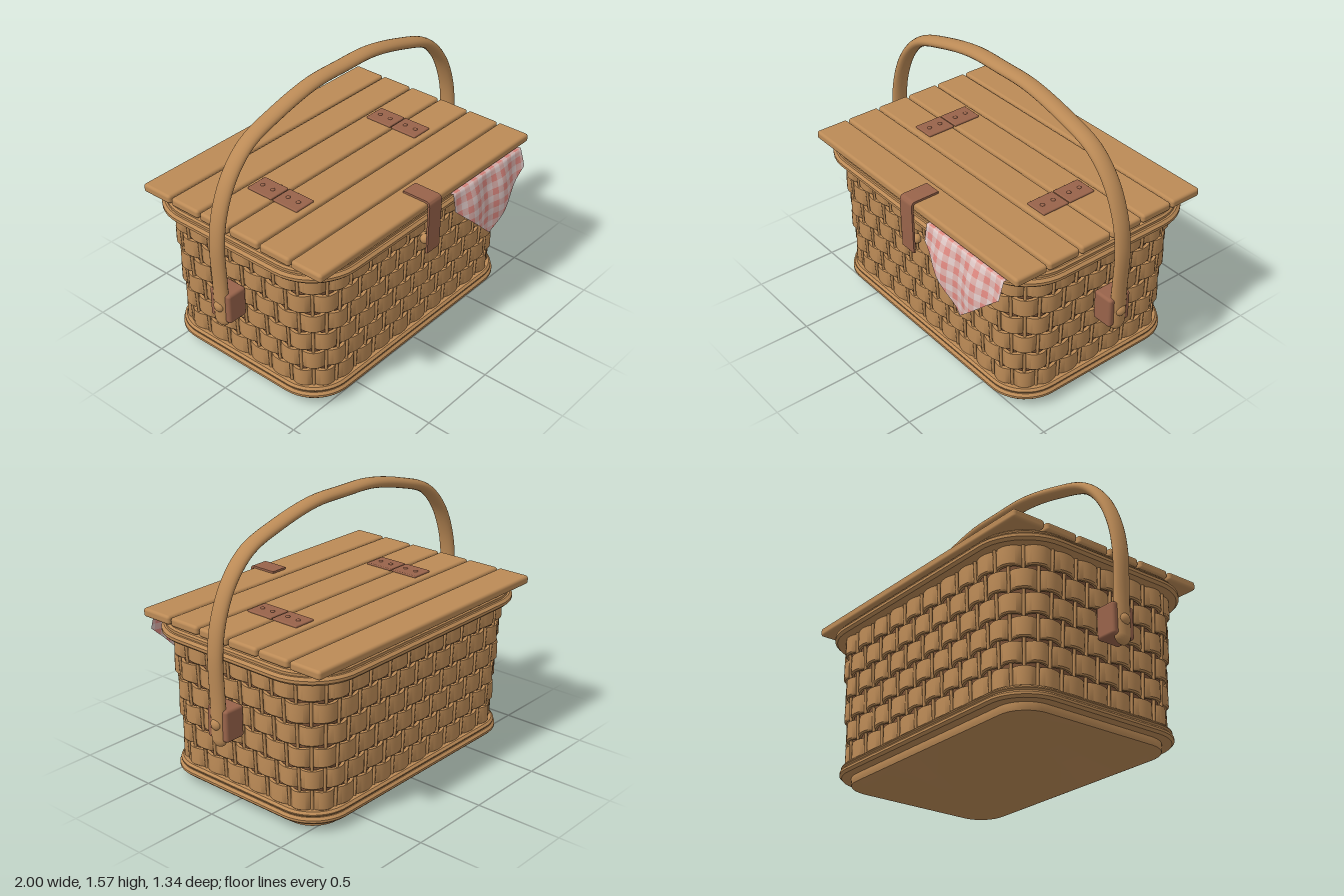
import * as THREE from 'three';
import { mergeGeometries, toCreasedNormals } from 'three/addons/utils/BufferGeometryUtils.js';
import { RoundedBoxGeometry } from 'three/addons/geometries/RoundedBoxGeometry.js';

const paint = (name, color, side = THREE.FrontSide) => {
  const m = new THREE.MeshStandardMaterial({ color, side });
  m.name = name;
  return m;
};

// Rounded-rectangle footprint: straight half lengths and a reference corner radius
const AX = 0.62, AZ = 0.345, R = 0.22, ARC = (Math.PI / 2) * R;
const PERIMETER = 4 * (AX + AZ) + 4 * ARC;
const CORNERS = [[AX, AZ], [-AX, AZ], [-AX, -AZ], [AX, -AZ]];

// Point at fraction t round the footprint, d outside its core
function around(t, d) {
  let s = (((t % 1) + 1) % 1) * PERIMETER;
  for (let k = 0; k < 4; k++) {
    const from = CORNERS[(k + 3) % 4], to = CORNERS[k];
    const straight = k % 2 ? 2 * AX : 2 * AZ;
    const onSide = s <= straight;
    if (onSide || s <= straight + ARC || k === 3) {
      const f = onSide ? s / straight : 1;
      const a = (k + (onSide ? 0 : (s - straight) / ARC)) * Math.PI / 2;
      return [from[0] + (to[0] - from[0]) * f + Math.cos(a) * d,
        from[1] + (to[1] - from[1]) * f + Math.sin(a) * d];
    }
    s -= straight + ARC;
  }
}

// Closed section of [offset, y] points, rising on the outside, swept round the footprint
function hoop(n, section, crease = 0.7) {
  const pos = [], index = [];
  let m = 0;
  for (let i = 0; i < n; i++) {
    const pts = section(i / n);
    m = pts.length;
    for (const [d, y] of pts) {
      const [x, z] = around(i / n, d);
      pos.push(x, y, z);
    }
  }
  for (let i = 0; i < n; i++) for (let j = 0; j < m; j++) {
    const i2 = (i + 1) % n, j2 = (j + 1) % m;
    const a = i * m + j, b = i * m + j2, c = i2 * m + j, e = i2 * m + j2;
    index.push(a, b, c, c, b, e);
  }
  const g = new THREE.BufferGeometry();
  g.setAttribute('position', new THREE.Float32BufferAttribute(pos, 3));
  g.setIndex(index);
  return toCreasedNormals(g, crease);
}

// Wall flare: outermost offset of the weave at height y
const wall = (y) => 0.2 + 0.045 * (y - 0.1) / 0.76;

// Cloth sheet: flat under the lid, then hanging to a point, sorted into check colours
function clothGeometry() {
  const cols = 32, cell = 0.63 / cols, back = 20, rows = back + 21;
  const pos = [], buckets = [[], [], []];
  for (let j = 0; j <= rows; j++) for (let i = 0; i <= cols; i++) {
    const x = 0.17 + i * cell;
    const limit = 0.105 + 0.29 * (1 - Math.abs(i / cols - 0.5) * 2);
    const s = Math.min((j - back) * cell, limit), drop = Math.max(0, s);
    const ripple = 0.012 * Math.sin(x * 24) * Math.min(1, drop / 0.1);
    const z = s < 0 ? 0.607 + s : 0.607 + 0.045 * Math.sin(Math.min(1, drop / 0.25) * Math.PI / 2) + ripple;
    pos.push(x, 0.9225 - drop, z + 0.033);
  }
  for (let j = 0; j < rows; j++) for (let i = 0; i < cols; i++) {
    const a = j * (cols + 1) + i, b = a + cols + 1;
    const level = (Math.floor((i + 1) / 2) % 2) + (Math.floor(j / 2) % 2);
    // split along the hem so the edge stays straight
    if (i < cols / 2) buckets[level].push(a, b, b + 1, a, b + 1, a + 1);
    else buckets[level].push(a, b, a + 1, b, b + 1, a + 1);
  }
  const g = new THREE.BufferGeometry();
  g.setAttribute('position', new THREE.Float32BufferAttribute(pos, 3));
  g.setIndex(buckets.flat());
  let start = 0;
  buckets.forEach((b, k) => { g.addGroup(start, b.length, k); start += b.length; });
  g.computeVertexNormals();
  return g;
}

export function createModel() {
  const wood = paint('wood', 0xbb8a56);
  const darkWood = paint('dark wood', 0x80563a);
  const leather = paint('leather', 0x98634a);
  const cloth = [paint('pale cloth', 0xdfc9c7, THREE.DoubleSide),
    paint('pink cloth', 0xdcb0ab, THREE.DoubleSide), paint('red cloth', 0xde8880, THREE.DoubleSide)];

  const root = new THREE.Group();
  root.name = 'picnicBasket';
  const basket = new THREE.Group();
  basket.name = 'basket';
  basket.position.z = -0.033;
  root.add(basket);
  const add = (name, geo, mat, x = 0, y = 0, z = 0) => {
    const mesh = new THREE.Mesh(geo, mat);
    mesh.name = name;
    mesh.position.set(x, y, z);
    basket.add(mesh);
    return mesh;
  };

  // Base slab
  const outline = new THREE.Shape();
  for (let i = 0; i < 120; i++) {
    const [x, z] = around(i / 120, 0.153);
    i ? outline.lineTo(x, z) : outline.moveTo(x, z);
  }
  const slab = new THREE.ExtrudeGeometry(outline, { depth: 0.046, bevelSize: 0.012, bevelThickness: 0.012, bevelSegments: 2 });
  slab.rotateX(-Math.PI / 2);
  add('base', toCreasedNormals(slab, 0.5), wood, 0, 0.012, 0);

  // Rims, each a pair of bands
  const band = (name, d, y0, y1, c) => add(name, hoop(160, () => [
    [0.1, y0], [d - c, y0], [d, y0 + c], [d, y1 - c], [d - c, y1], [0.1, y1]], 0.5), wood);
  band('lowerRim', 0.23, 0.046, 0.085, 0.013);
  band('lowerRimCap', 0.222, 0.083, 0.113, 0.012);
  band('upperRim', 0.295, 0.853, 0.897, 0.014);
  band('upperRimCap', 0.27, 0.885, 0.921, 0.01);

  // Dark liner behind the weave
  add('liner', hoop(160, () => [[wall(0.08) - 0.036, 0.08], [wall(0.88) - 0.036, 0.88],
    [wall(0.88) - 0.06, 0.88], [wall(0.08) - 0.06, 0.08]]), darkWood);

  // Woven strips: every other row is shifted half a period
  const WAVES = 34;
  for (let row = 0; row < 6; row++) {
    const y = 0.163 + row * 0.127, h = 0.054;
    add('wovenStrip', hoop(WAVES * 8, (t) => {
      const bulge = Math.pow(Math.abs(Math.sin(Math.PI * (t * WAVES + (row % 2) / 2))), 0.7);
      const o = (yy) => wall(yy) - 0.028 * (1 - bulge);
      return [[o(y) - 0.02, y - h], [o(y - h) - 0.004, y - h], [o(y), y - h + 0.008],
        [o(y), y + h - 0.008], [o(y + h) - 0.004, y + h], [o(y) - 0.02, y + h]];
    }), wood);
  }

  // Upright stakes
  const up = new THREE.Vector3(0, 1, 0), stakes = [];
  for (let i = 0; i < WAVES * 2; i++) {
    const [a, b] = [0.1, 0.87].map((y) => {
      const [x, z] = around(i / (WAVES * 2), wall(y) - 0.019);
      return new THREE.Vector3(x, y, z);
    });
    const dir = b.clone().sub(a);
    const g = new THREE.CylinderGeometry(0.009, 0.009, dir.length(), 8);
    g.applyQuaternion(new THREE.Quaternion().setFromUnitVectors(up, dir.normalize()));
    const mid = a.add(b).multiplyScalar(0.5);
    stakes.push(g.translate(mid.x, mid.y, mid.z));
  }
  add('stakes', mergeGeometries(stakes), wood);

  // Lid planks
  for (let i = 0; i < 6; i++) {
    add('lidPlank', new RoundedBoxGeometry(1.77, 0.05, 0.2, 3, 0.016), wood, 0, 0.95, (i - 2.5) * 0.2125);
  }

  // Hinges with rivets
  for (const x of [-0.49, 0.49]) for (const side of [-1, 1]) {
    add('hingePlate', new RoundedBoxGeometry(0.135, 0.014, 0.172, 2, 0.006), leather, x, 0.979, side * 0.09);
    for (const z of [0.055, 0.128]) {
      add('hingeRivet', new THREE.SphereGeometry(0.013, 12, 8).scale(1, 0.6, 1), leather, x, 0.986, side * z);
    }
  }

  // Bent handle with rounded ends, side brackets and pivots
  const half = [[0.955, 0.444], [0.958, 0.65], [0.963, 0.92], [0.93, 1.1], [0.85, 1.27], [0.72, 1.4], [0.5, 1.48], [0.23, 1.538]];
  const path = new THREE.CatmullRomCurve3([...half, [0, 1.543], ...half.slice().reverse().map(([x, y]) => [-x, y])]
    .map(([x, y]) => new THREE.Vector3(x, y, 0)), false, 'centripetal');
  add('handle', new THREE.TubeGeometry(path, 96, 0.03, 20).scale(1, 1, 1.63), wood);
  for (const s of [-1, 1]) {
    add('handleEnd', new THREE.SphereGeometry(0.049, 20, 14).scale(0.61, 1, 1), wood, s * 0.955, 0.444, 0);
    add('handleBracket', new RoundedBoxGeometry(0.125, 0.18, 0.145, 3, 0.016), leather, s * 0.908, 0.525, 0);
    add('handlePivot', new THREE.SphereGeometry(0.033, 18, 12).scale(0.75, 1, 1), wood, s * 0.975, 0.527, 0);
  }

  // Latch strap folded over the lid edge, with its button
  const strap = new THREE.Shape();
  strap.moveTo(0.473, 0.974);
  strap.lineTo(0.625, 0.974);
  strap.quadraticCurveTo(0.638, 0.972, 0.638, 0.955);
  strap.lineTo(0.635, 0.662);
  strap.lineTo(0.647, 0.662);
  strap.lineTo(0.651, 0.955);
  strap.quadraticCurveTo(0.651, 0.987, 0.625, 0.987);
  strap.lineTo(0.473, 0.987);
  const strapGeo = new THREE.ExtrudeGeometry(strap, { depth: 0.104, bevelEnabled: false, curveSegments: 6 });
  add('latchStrap', toCreasedNormals(strapGeo.rotateY(-Math.PI / 2), 0.6), leather, 0.052, 0, 0);
  add('latchButton', new THREE.SphereGeometry(0.028, 16, 12), wood, 0, 0.705, 0.59);

  // Checked cloth
  add('cloth', clothGeometry(), cloth);
  return root;
}
